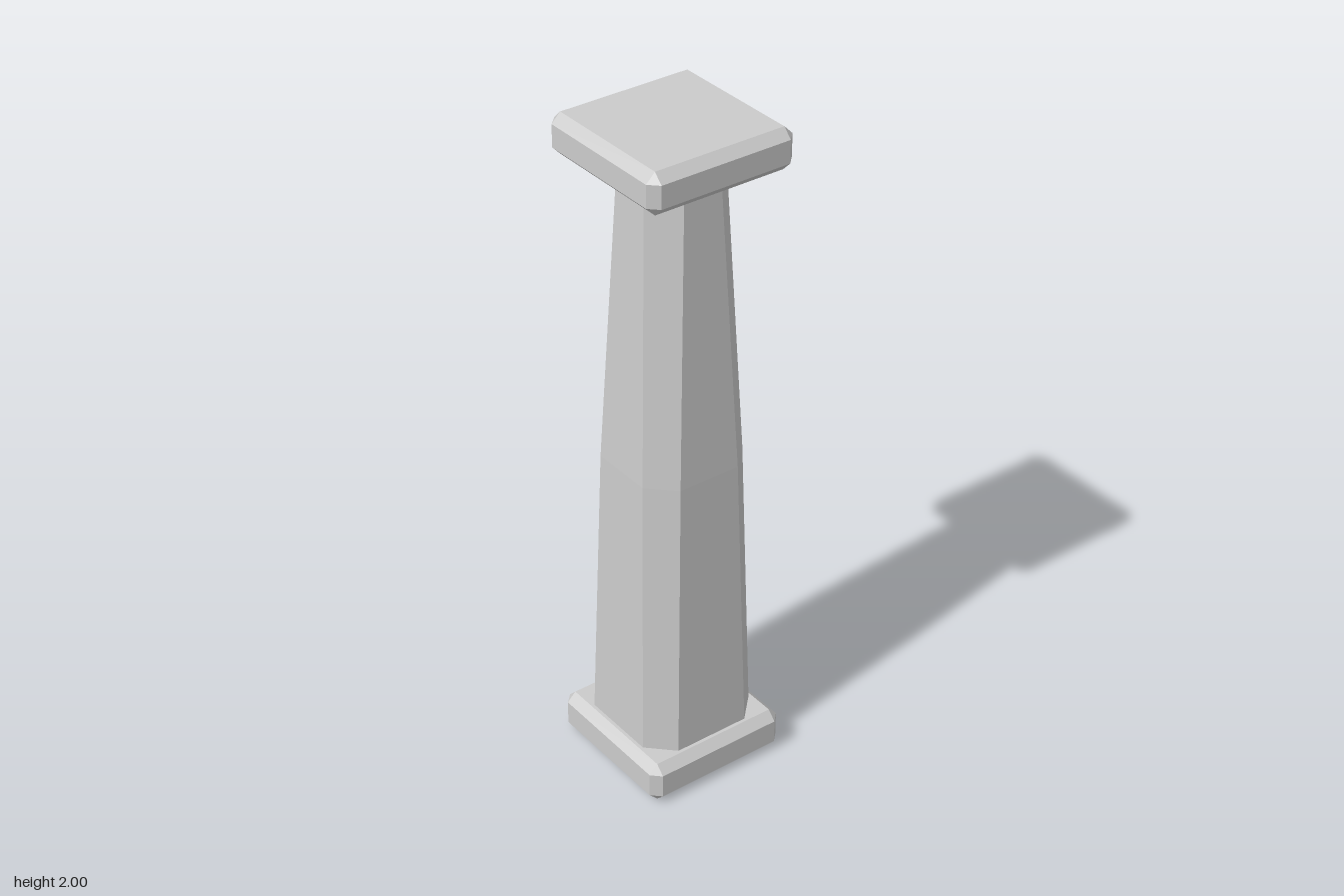
import * as THREE from 'three';

const material = new THREE.MeshStandardMaterial({ color: 0xcccccc, flatShading: true });

// Square ring with cut corners: h = half width, e = half length of each straight side
function ring([y, h, e]) {
  return [[e, h], [h, e], [h, -e], [e, -h], [-e, -h], [-h, -e], [-h, e], [-e, h]]
    .map(([x, z]) => new THREE.Vector3(x, y, z));
}

// Joins rings from bottom to top and closes both ends
function loft(name, sections) {
  const rings = sections.map(ring);
  const points = [];
  const triangle = (a, b, c) => {
    const area = b.clone().sub(a).cross(c.clone().sub(a)).length();
    if (area > 1e-8) points.push(a, b, c);
  };
  for (let r = 0; r < rings.length - 1; r++) {
    for (let i = 0; i < 8; i++) {
      const j = (i + 1) % 8;
      const [a, b, c, d] = [rings[r][i], rings[r][j], rings[r + 1][j], rings[r + 1][i]];
      triangle(a, b, c);
      triangle(a, c, d);
    }
  }
  const bottom = rings[0], top = rings[rings.length - 1];
  for (let i = 1; i < 7; i++) {
    triangle(bottom[0], bottom[i + 1], bottom[i]);
    triangle(top[0], top[i], top[i + 1]);
  }
  const geometry = new THREE.BufferGeometry().setFromPoints(points);
  geometry.computeVertexNormals();
  const mesh = new THREE.Mesh(geometry, material);
  mesh.name = name;
  return mesh;
}

// Square slab with every edge bevelled
function slab(name, y0, y1) {
  const half = 0.227, bevel = 0.027, flat = half - bevel;
  return loft(name, [
    [y0, flat, flat],
    [y0 + bevel, half, flat],
    [y1 - bevel, half, flat],
    [y1, flat, flat],
  ]);
}

export function createModel() {
  const column = new THREE.Group();
  column.name = 'column';
  column.add(
    slab('base', 0, 0.128),
    // Shaft tapers faster above its middle; the corner cuts keep their width
    loft('shaft', [
      [0.128, 0.19, 0.118],
      [1.0, 0.168, 0.096],
      [1.88, 0.13, 0.058],
    ]),
    slab('capital', 1.88, 2),
  );
  return column;
}
